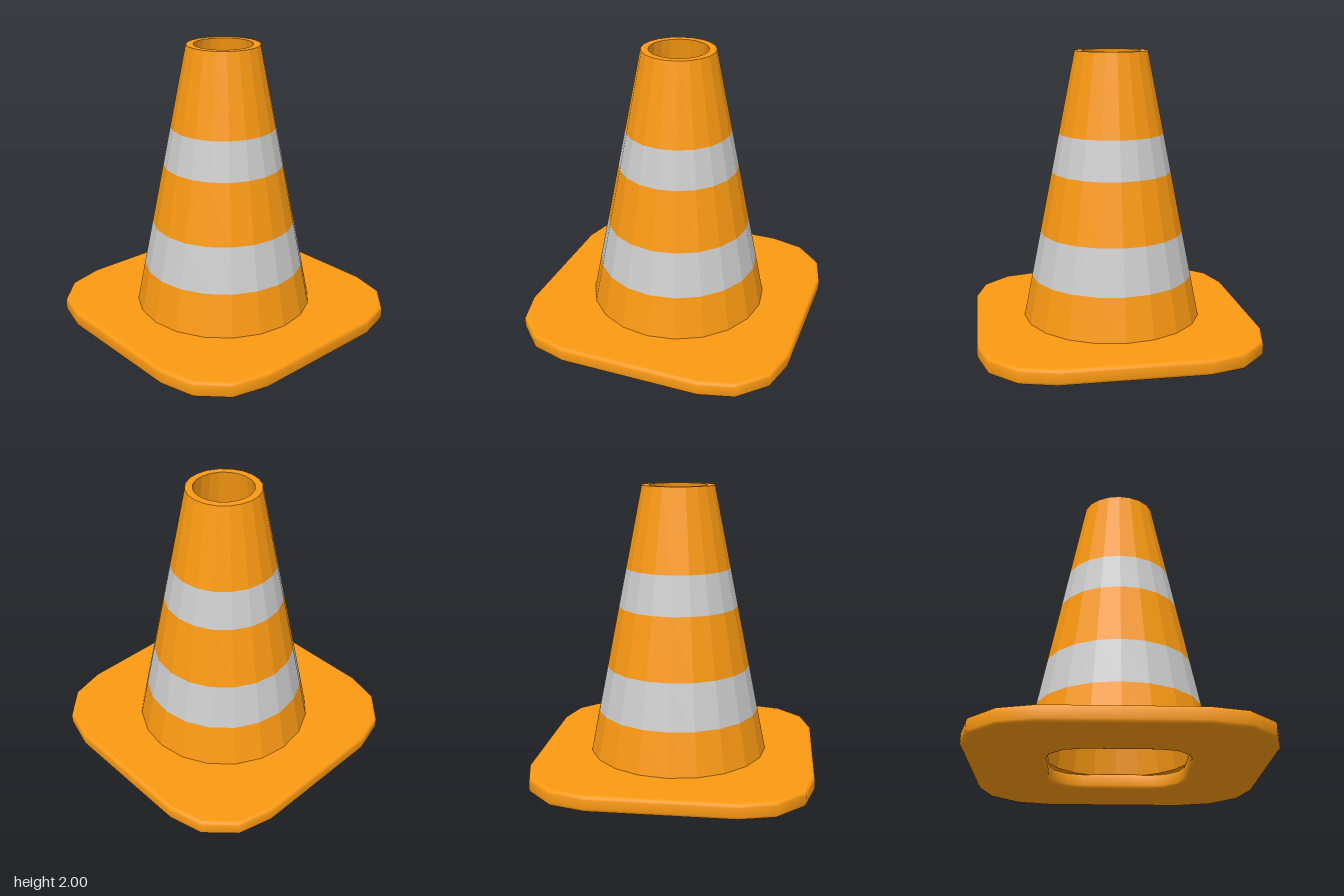
import * as THREE from 'three';
import { toCreasedNormals } from 'three/addons/utils/BufferGeometryUtils.js';

const SIDES = 20;
const BASE_TOP = 0.11, TOP = 2;
const HOLLOW = 0.8; // inner radius as a share of the outer radius

const orange = new THREE.MeshStandardMaterial({ color: 0xfa9912 });
const orangeFlat = new THREE.MeshStandardMaterial({ color: 0xfa9912, flatShading: true });
const grey = new THREE.MeshStandardMaterial({ color: 0xcccccc, flatShading: true });

// outer radius of the cone at a given height
const radiusAt = (y) => THREE.MathUtils.mapLinear(y, BASE_TOP, TOP, 0.635, 0.255);

// square with chamfered corners, repeated by quarter turns
function chamferedSquare(scale) {
  const corner = [[0.98, 0.49], [0.915, 0.735], [0.735, 0.915], [0.49, 0.98]];
  const points = [];
  for (let q = 0; q < 4; q++) {
    for (const [x, y] of corner) {
      points.push(new THREE.Vector2(x, y).multiplyScalar(scale).rotateAround(new THREE.Vector2(), q * Math.PI / 2));
    }
  }
  return points;
}

// base plate with softened edges and a matching hole
function baseGeometry() {
  const bevel = 0.025;
  const shape = new THREE.Shape(chamferedSquare(1));
  shape.holes.push(new THREE.Path(chamferedSquare(0.475).reverse()));
  const flat = new THREE.ExtrudeGeometry(shape, {
    depth: BASE_TOP - 2 * bevel, bevelThickness: bevel, bevelSize: bevel,
    bevelOffset: -bevel, bevelSegments: 3,
  });
  const geometry = toCreasedNormals(flat, 0.6);
  // keep the top and bottom faces perfectly flat
  const caps = flat.groups[0];
  for (let i = caps.start; i < caps.start + caps.count; i++) {
    geometry.attributes.normal.setXYZ(i, 0, 0, Math.sign(flat.attributes.normal.getZ(i)));
  }
  geometry.clearGroups();
  return geometry.rotateX(-Math.PI / 2).translate(0, bevel, 0);
}

function lathe(name, profile, material) {
  const points = profile.map(([r, y]) => new THREE.Vector2(r, y));
  const mesh = new THREE.Mesh(new THREE.LatheGeometry(points, SIDES), material);
  mesh.name = name;
  return mesh;
}

export function createModel() {
  const group = new THREE.Group();
  group.name = 'trafficCone';

  const base = new THREE.Mesh(baseGeometry(), orange);
  base.name = 'base';
  group.add(base);

  // outer wall in alternating orange and reflective bands
  const bottom = 0.1;
  const levels = [bottom, 0.41, 0.73, 1.16, 1.43, TOP];
  const names = ['lowerCone', 'lowerStripe', 'middleCone', 'upperStripe', 'upperCone'];
  names.forEach((name, i) => {
    const profile = [levels[i], levels[i + 1]].map((y) => [radiusAt(y), y]);
    group.add(lathe(name, profile, i % 2 ? grey : orangeFlat));
  });

  // top rim, hollow inside and bottom ring
  const rTop = radiusAt(TOP), rBottom = radiusAt(bottom);
  group.add(lathe('innerWall', [
    [rTop, TOP], [rTop * HOLLOW, TOP], [rBottom * HOLLOW, bottom], [rBottom, bottom],
  ], orangeFlat));

  return group;
}
